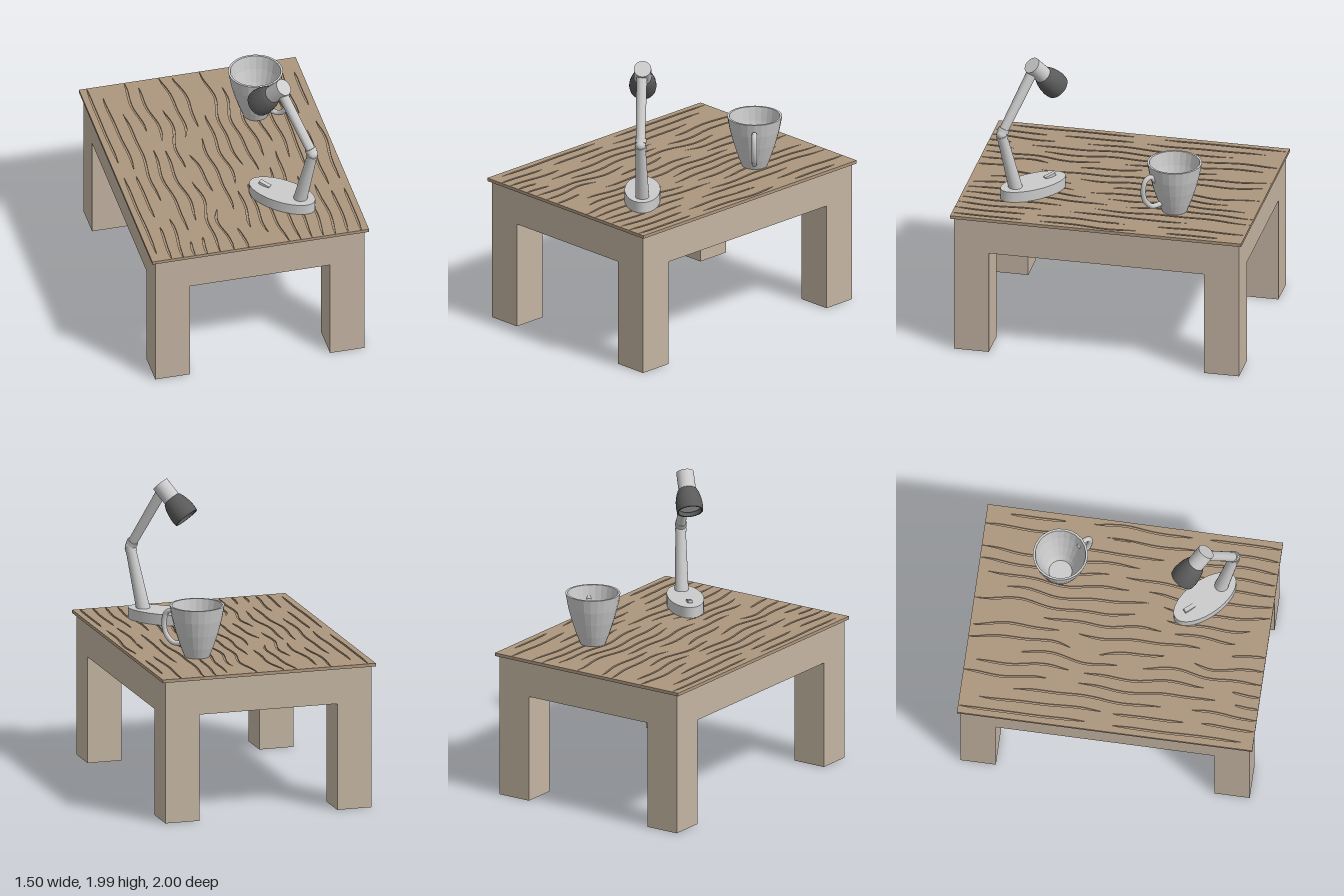
import * as THREE from 'three';
import { toCreasedNormals } from 'three/addons/utils/BufferGeometryUtils.js';

const V = (x, y, z) => new THREE.Vector3(x, y, z);
const UP = V(0, 1, 0);

const mat = (color, extra = {}) => new THREE.MeshStandardMaterial({ color, ...extra });
const grey = mat(0xcccccc);
const greyFlat = mat(0xcccccc, { flatShading: true });
const darkGrey = mat(0x5a5a5a, { side: THREE.DoubleSide });
const wood = mat(0xac967d);
const paleWood = mat(0xc3b4a2);

function add(parent, name, geometry, material, x = 0, y = 0, z = 0) {
  const mesh = new THREE.Mesh(geometry, material);
  mesh.name = name;
  mesh.position.set(x, y, z);
  parent.add(mesh);
  return mesh;
}

// Cylinder running from point a to point b
function rod(parent, name, a, b, ra, rb = ra, sides = 20) {
  const dir = b.clone().sub(a);
  const geo = toCreasedNormals(new THREE.CylinderGeometry(rb, ra, dir.length(), sides), 0.6);
  const mid = a.clone().lerp(b, 0.5);
  const mesh = add(parent, name, geo, grey, mid.x, mid.y, mid.z);
  mesh.quaternion.setFromUnitVectors(UP, dir.normalize());
  return mesh;
}

function seeded(seed) {
  return () => (seed = (seed * 16807) % 2147483647) / 2147483647;
}

// Grain: lanes along z share one smooth displacement, so grooves never cross
const knots = [[-0.11, 0.63], [-0.11, -0.2], [0.61, -0.07]];
function grainX(x, z) {
  let out = x;
  for (const [kx, kz] of knots) {
    const dx = x - kx, dz = z - kz;
    out += 0.03 * Math.tanh(dx / 0.03) * Math.exp(-((dx / 0.15) ** 2) - (dz / 0.15) ** 2);
  }
  const wave = Math.sin(z * 7 + x * 5) * 0.018 + Math.sin(z * 15 - x * 7) * 0.009;
  return out + wave * (1 - (x / 0.75) ** 2);
}

function grooveHole(x, z0, z1, halfWidth) {
  const n = Math.max(8, Math.ceil((z1 - z0) * 28));
  const left = [], right = [];
  for (let i = 0; i <= n; i++) {
    const t = i / n, z = z0 + (z1 - z0) * t;
    const w = halfWidth * Math.min(1, 0.15 + 6 * Math.min(t, 1 - t));
    const cx = grainX(x, z);
    left.push(new THREE.Vector2(cx - w, -z));
    right.unshift(new THREE.Vector2(cx + w, -z));
  }
  return new THREE.Path([...left, ...right]);
}

function buildTable() {
  const table = new THREE.Group();
  table.name = 'table';

  // Solid apron and four square legs
  add(table, 'apron', new THREE.BoxGeometry(1.45, 0.243, 1.96), paleWood, 0, 0.8565, 0);
  for (const sx of [-1, 1]) for (const sz of [-1, 1])
    add(table, 'leg', new THREE.BoxGeometry(0.24, 0.735, 0.24), paleWood, sx * 0.605, 0.3675, sz * 0.86);

  // Thin top board with carved grain in its upper half
  add(table, 'topBase', new THREE.BoxGeometry(1.5, 0.012, 2), wood, 0, 0.984, 0);
  const board = new THREE.Shape([[-0.75, -1], [0.75, -1], [0.75, 1], [-0.75, 1]].map(p => new THREE.Vector2(...p)));
  const rnd = seeded(4711);
  const lanes = 17;
  for (let i = 0; i < lanes; i++) {
    const x = -0.7 + (1.4 * i) / (lanes - 1);
    let z = -0.995 + rnd() * 0.25 * (i % 3);
    while (z < 0.85) {
      const end = Math.min(0.995, z + 0.35 + rnd() * 0.75);
      board.holes.push(grooveHole(x, z, end, 0.007));
      z = end + 0.06 + rnd() * 0.18;
    }
  }
  // Lens-shaped hearts of the knots
  for (const [kx, kz] of knots) {
    const heart = new THREE.Path();
    const cx = grainX(kx, kz);
    heart.moveTo(cx, -kz - 0.06);
    heart.quadraticCurveTo(cx + 0.018, -kz, cx, -kz + 0.06);
    heart.quadraticCurveTo(cx - 0.018, -kz, cx, -kz - 0.06);
    if (kx !== -0.11) board.holes.push(heart);
  }
  const geo = new THREE.ExtrudeGeometry(board, { depth: 0.01, bevelEnabled: false });
  add(table, 'grainedTop', geo.rotateX(-Math.PI / 2), wood, 0, 0.99, 0);
  return table;
}

function buildMug() {
  const mug = new THREE.Group();
  mug.name = 'mug';
  mug.position.set(0.333, 1, -0.45);

  // Outer wall, rim, inner wall and floor in one profile
  const profile = [[0, 0.001], [0.085, 0.001], [0.112, 0.07], [0.143, 0.165], [0.168, 0.26], [0.185, 0.355],
    [0.17, 0.355], [0.154, 0.26], [0.129, 0.165], [0.098, 0.07], [0.078, 0.025], [0, 0.025]];
  add(mug, 'cup', new THREE.LatheGeometry(profile.map(p => new THREE.Vector2(...p)), 24), greyFlat);

  // Ear-shaped handle pointing to the front left
  const path = new THREE.CatmullRomCurve3(
    [[0.155, 0.255], [0.19, 0.293], [0.232, 0.275], [0.25, 0.2], [0.232, 0.125], [0.18, 0.075], [0.108, 0.075]]
      .map(([r, y]) => V(r, y, 0)));
  add(mug, 'handle', new THREE.TubeGeometry(path, 28, 0.018, 10), grey).rotation.y = -Math.PI / 4;
  return mug;
}

function buildLamp() {
  const lamp = new THREE.Group();
  lamp.name = 'lamp';

  // Oval foot lying on the diagonal
  const foot = new THREE.CylinderGeometry(1, 1, 0.075, 40).scale(0.248, 1, 0.12);
  add(lamp, 'foot', toCreasedNormals(foot, 0.7), grey, 0.267, 1.0375, 0.538).rotation.y = -Math.PI / 4;

  // Rocker switch, raised at its outer end
  const rocker = add(lamp, 'switch', new THREE.BoxGeometry(0.08, 0.02, 0.03), grey, 0.17, 1.083, 0.445);
  rocker.rotation.set(0, -Math.PI / 4, -0.22, 'YXZ');

  // Two arms with a cuffed elbow
  const bottom = V(0.365, 1.06, 0.635), elbow = V(0.432, 1.485, 0.718), neck = V(0.262, 1.9, 0.54);
  rod(lamp, 'lowerArm', bottom, elbow, 0.047, 0.034);
  rod(lamp, 'upperArm', elbow, neck, 0.032, 0.036);
  add(lamp, 'elbow', new THREE.SphereGeometry(0.035, 20, 14), grey, elbow.x, elbow.y, elbow.z);
  rod(lamp, 'lowerCuff', elbow.clone().lerp(bottom, 0.075), elbow.clone().lerp(bottom, 0.02), 0.039);
  rod(lamp, 'upperCuff', elbow.clone().lerp(neck, 0.03), elbow.clone().lerp(neck, 0.09), 0.039);

  // Head: local +y runs from the cap towards the opening
  const head = new THREE.Group();
  head.name = 'head';
  head.position.set(0.275, 1.945, 0.545);
  head.quaternion.setFromUnitVectors(UP, V(-0.14, -0.21, -0.14).normalize());
  lamp.add(head);
  add(head, 'socket', toCreasedNormals(new THREE.CylinderGeometry(0.059, 0.059, 0.145, 24), 0.6), grey, 0, 0.0725, 0);
  const bell = [[0.056, 0.125], [0.066, 0.135], [0.078, 0.165], [0.088, 0.21], [0.092, 0.255], [0.088, 0.29],
    [0.078, 0.29], [0.08, 0.25], [0.07, 0.19], [0.05, 0.15]];
  const shade = new THREE.LatheGeometry(bell.map(p => new THREE.Vector2(...p)), 28);
  add(head, 'shade', toCreasedNormals(shade, 0.7), darkGrey);
  const bulb = new THREE.SphereGeometry(0.078, 24, 8, 0, Math.PI * 2, 0, Math.PI / 2).scale(1, 0.3, 1);
  add(head, 'bulb', bulb, grey, 0, 0.255, 0);
  return lamp;
}

export function createModel() {
  const model = new THREE.Group();
  model.name = 'deskScene';
  model.add(buildTable(), buildMug(), buildLamp());
  return model;
}
